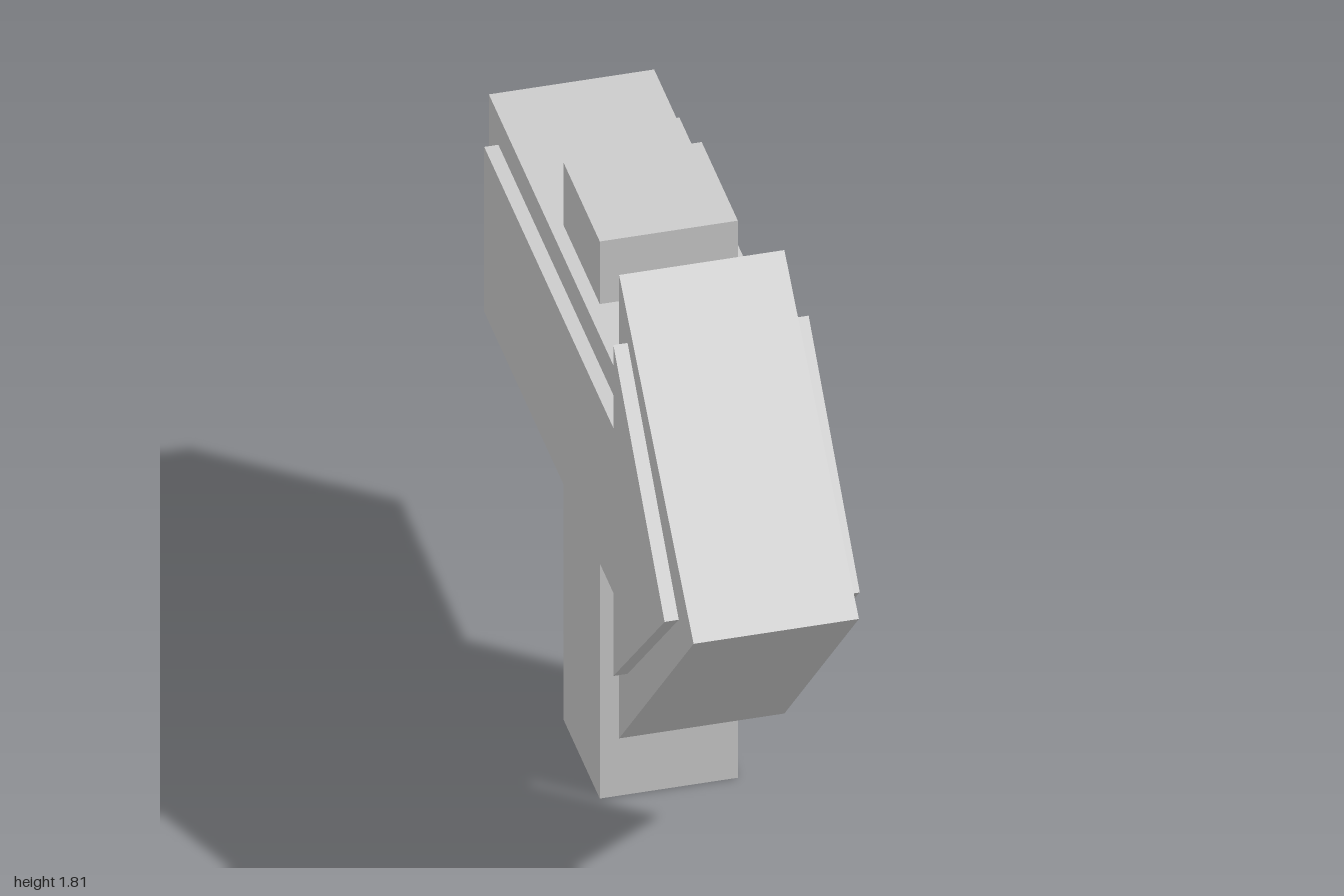
import * as THREE from 'three';

// Arrow outline in the side plane, pointing to +z, extruded across x and centred on x = 0
function arrowGeometry({ tip, tipY, neck, tail, headTop, headBottom, bodyTop, bodyBottom }, width) {
  const shape = new THREE.Shape([
    [tip, tipY], [neck, headTop], [neck, bodyTop], [tail, bodyTop],
    [tail, bodyBottom], [neck, bodyBottom], [neck, headBottom],
  ].map(([z, y]) => new THREE.Vector2(z, y)));
  return new THREE.ExtrudeGeometry(shape, { depth: width, bevelEnabled: false })
    .translate(0, 0, -width / 2)
    .rotateY(-Math.PI / 2);
}

export function createModel() {
  const group = new THREE.Group();
  const grey = new THREE.MeshStandardMaterial({ color: 0xcccccc, flatShading: true });
  grey.name = 'grey';

  const add = (name, geometry, x = 0, y = 0, z = 0) => {
    const mesh = new THREE.Mesh(geometry, grey);
    mesh.name = name;
    mesh.position.set(x, y, z);
    group.add(mesh);
  };

  // Square post through the sign
  add('post', new THREE.BoxGeometry(0.355, 1.69, 0.353), -0.002, 0.845, -0.226);

  // Thick arrow board
  add('arrowBoard', arrowGeometry({
    tip: 1, tipY: 1.185, neck: 0.272, tail: -1,
    headTop: 1.812, headBottom: 0.406, bodyTop: 1.5, bodyBottom: 0.82,
  }, 0.425), -0.002);

  // Raised arrow panel on each side
  const panel = arrowGeometry({
    tip: 0.855, tipY: 1.16, neck: 0.355, tail: -0.907,
    headTop: 1.662, headBottom: 0.658, bodyTop: 1.41, bodyBottom: 0.91,
  }, 0.05);
  for (const [name, side] of [['leftPanel', 1], ['rightPanel', -1]]) {
    add(name, panel, side * 0.226);
  }

  return group;
}
